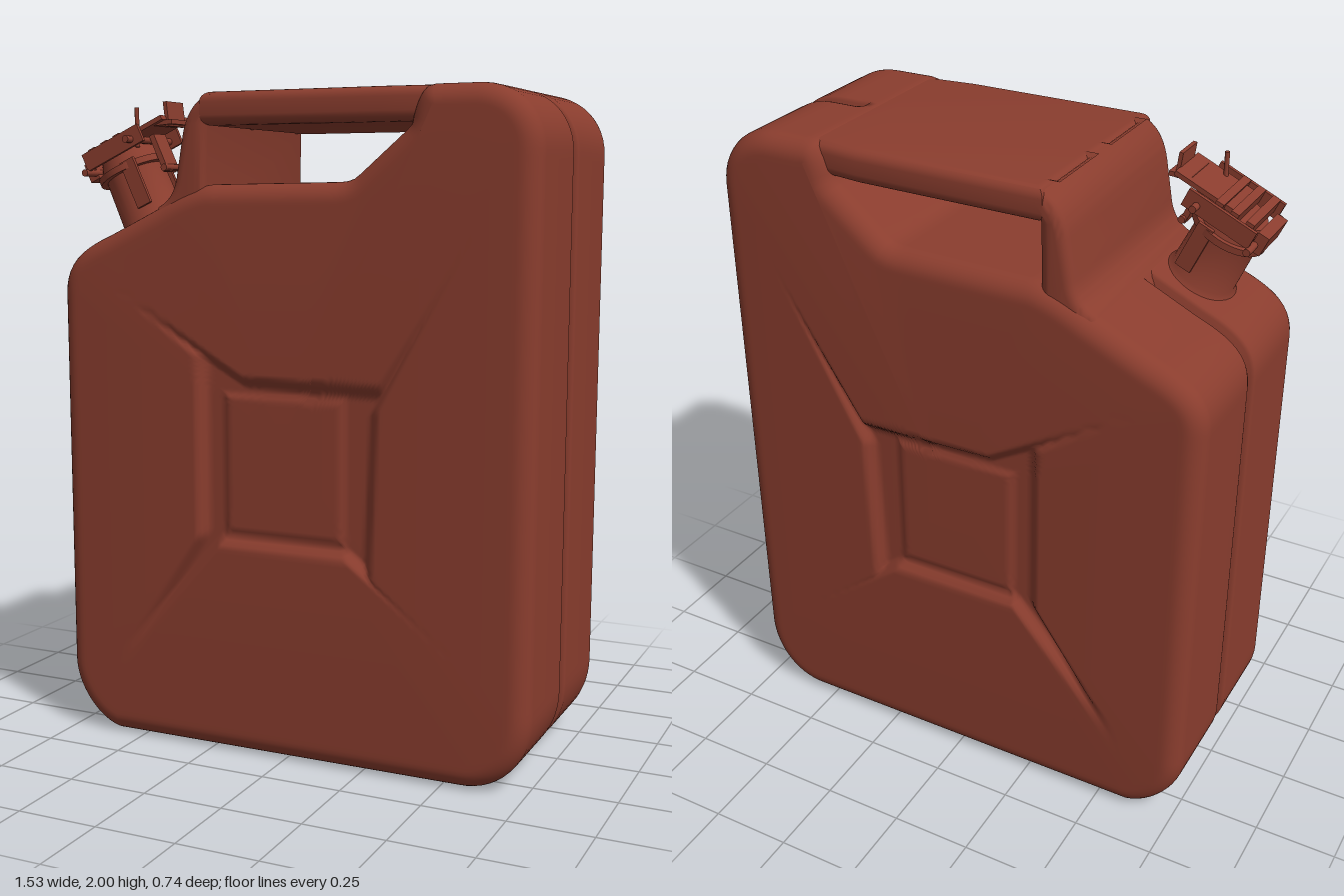
import * as THREE from 'three';
import { toCreasedNormals } from 'three/addons/utils/BufferGeometryUtils.js';

const paint = new THREE.MeshStandardMaterial({ color: 0x8a3d2e });
paint.name = 'rust red paint';

const add = (parent, name, geometry, x = 0, y = 0, z = 0) => {
  const mesh = new THREE.Mesh(geometry, paint);
  mesh.name = name;
  mesh.position.set(x, y, z);
  parent.add(mesh);
  return mesh;
};
const smooth = (d, w) => THREE.MathUtils.smoothstep(d, 0, w);

// Side outline of the can, counterclockwise
function outline(n) {
  const s = new THREE.Shape();
  s.moveTo(-0.6, 0.005);
  s.lineTo(0.56, 0.005);
  s.bezierCurveTo(0.67, 0.005, 0.76, 0.1, 0.762, 0.23);
  s.lineTo(0.767, 1.82);
  s.bezierCurveTo(0.767, 1.92, 0.69, 2, 0.58, 2);
  s.lineTo(0.44, 2);
  s.quadraticCurveTo(0.4, 1.98, 0.385, 1.89);
  s.lineTo(0.22, 1.75);
  s.quadraticCurveTo(0.2, 1.735, 0.16, 1.735);
  s.lineTo(-0.25, 1.73);
  s.quadraticCurveTo(-0.32, 1.72, -0.42, 1.665);
  s.lineTo(-0.6, 1.58);
  s.bezierCurveTo(-0.7, 1.54, -0.765, 1.5, -0.767, 1.4);
  s.lineTo(-0.767, 0.22);
  s.bezierCurveTo(-0.765, 0.12, -0.68, 0.02, -0.6, 0.005);
  return s.getSpacedPoints(n).slice(0, n);
}

// Pressed X-shaped recess with a raised pad in the middle
const cross = [
  [-0.58, 1.435], [-0.12, 1.17], [0.3, 1.16], [0.615, 1.64], [0.31, 1.08], [0.29, 0.6],
  [0.63, 0.32], [0.2, 0.645], [-0.2, 0.65], [-0.63, 0.17], [-0.285, 0.68], [-0.285, 1.22],
];
function relief(x, y) {
  let inside = false, d = 1;
  cross.forEach(([ax, ay], i) => {
    const [bx, by] = cross[(i + 1) % cross.length];
    if ((ay > y) !== (by > y) && x < ax + ((y - ay) * (bx - ax)) / (by - ay)) inside = !inside;
    const ex = bx - ax, ey = by - ay;
    const t = THREE.MathUtils.clamp(((x - ax) * ex + (y - ay) * ey) / (ex * ex + ey * ey), 0, 1);
    d = Math.min(d, Math.hypot(x - ax - t * ex, y - ay - t * ey));
  });
  if (!inside) return 0;
  const pad = Math.min(0.2 - Math.abs(x), 0.22 - Math.abs(y - 0.9));
  return -0.03 * smooth(d, 0.035) + 0.01 * smooth(pad, 0.02);
}

// One pressed half: seam groove, side wall, rounded edge, then the relief face
function shell(sign) {
  const n = 280, steps = 60, pts = outline(n);
  const normals = pts.map((_, j) => {
    const a = pts[(j + n - 2) % n], b = pts[(j + 2) % n];
    return new THREE.Vector2(b.y - a.y, a.x - b.x).normalize();
  });
  const section = [[0.045, 0], [0.045, 0.008], [0.035, 0.015], [0.012, 0.019], [0.003, 0.026], [0, 0.036], [0, 0.17]];
  for (let i = 0; i <= 8; i++) {
    const a = (i / 8) * Math.PI / 2;
    section.push([0.06 * (1 - Math.cos(a)), 0.302 + 0.06 * Math.sin(a)]);
  }
  const pos = [], index = [];
  const at = (j, inset) => pts[j].clone().addScaledVector(normals[j], -inset);
  section.forEach(([inset, z], r) => {
    for (let j = 0; j < n; j++) {
      // the seam groove fades out beneath the handles
      const covered = pts[j].y > 1.6 && pts[j].x > -0.38 && pts[j].x < 0.49;
      const p = at(j, r < 6 && covered ? 0 : inset);
      pos.push(p.x, p.y, z * sign);
    }
  });
  for (let m = 1; m <= steps; m++) {
    const k = 1 - m / steps;
    for (let j = 0; j < n; j++) {
      const p = at(j, 0.06);
      const x = p.x * k, y = 0.95 + (p.y - 0.95) * k;
      pos.push(x, y, sign * (0.362 + 0.011 * (1 - k * k) + relief(x, y)));
    }
  }
  for (let r = 0; r < section.length + steps - 1; r++) {
    for (let j = 0; j < n; j++) {
      const a = r * n + j, b = r * n + (j + 1) % n, c = a + n, d = b + n;
      if (sign > 0) index.push(a, b, c, b, d, c);
      else index.push(a, c, b, b, c, d);
    }
  }
  const g = new THREE.BufferGeometry();
  g.setAttribute('position', new THREE.Float32BufferAttribute(pos, 3));
  g.setIndex(index);
  g.computeVertexNormals();
  return g;
}

const extrude = (shape, depth, bevel) => toCreasedNormals(new THREE.ExtrudeGeometry(shape, {
  depth: depth - 2 * bevel, bevelEnabled: true, bevelSize: bevel, bevelThickness: bevel,
  bevelOffset: -bevel, bevelSegments: 5, curveSegments: 12,
}).translate(0, 0, bevel - depth / 2), 0.7);

// Three bars as one slotted plate, with the common leg at the spout end
function handles() {
  const g = new THREE.Group();
  g.name = 'handles';
  const plate = new THREE.Shape();
  plate.moveTo(-0.275, -0.34);
  plate.lineTo(0.3, -0.34);
  plate.lineTo(0.5, -0.32);
  plate.lineTo(0.5, 0.32);
  plate.lineTo(0.3, 0.34);
  plate.lineTo(-0.275, 0.34);
  plate.closePath();
  for (const c of [-0.157, 0.157]) {
    const slot = new THREE.Path();
    slot.moveTo(-0.262, c - 0.088);
    slot.lineTo(0.23, c - 0.088);
    slot.bezierCurveTo(0.375, c - 0.075, 0.375, c + 0.075, 0.23, c + 0.088);
    slot.lineTo(-0.262, c + 0.088);
    slot.closePath();
    plate.holes.push(slot);
  }
  add(g, 'handleBars', extrude(plate, 0.098, 0.03).rotateX(-Math.PI / 2), 0, 1.949, 0);

  const leg = new THREE.Shape();
  leg.moveTo(-0.46, 1.6);
  leg.lineTo(-0.43, 1.665);
  leg.quadraticCurveTo(-0.375, 1.69, -0.365, 1.76);
  leg.lineTo(-0.345, 1.87);
  leg.quadraticCurveTo(-0.325, 1.98, -0.235, 1.998);
  leg.lineTo(-0.262, 1.9);
  leg.lineTo(-0.268, 1.6);
  leg.closePath();
  add(g, 'handleLeg', extrude(leg, 0.68, 0.03));
  return g;
}

// Tilted filler neck with hinged cap, lever and pins
function spout() {
  const g = new THREE.Group();
  g.name = 'spout';
  g.position.set(-0.53, 1.6, 0.165);
  g.rotation.z = 0.43;
  const box = (name, w, h, d, x, y, z = 0) => add(g, name, new THREE.BoxGeometry(w, h, d), x, y, z);
  const pin = (name, x, y, length) =>
    add(g, name, new THREE.CylinderGeometry(0.011, 0.011, length, 12).rotateX(Math.PI / 2), x, y, 0);

  const profile = [[0.15, -0.03], [0.115, 0.005], [0.098, 0.025], [0.094, 0.18], [0, 0.18]];
  add(g, 'neck', toCreasedNormals(new THREE.LatheGeometry(
    profile.map(([r, y]) => new THREE.Vector2(r, y)), 32), 0.7));
  add(g, 'capLip', new THREE.CylinderGeometry(0.115, 0.115, 0.02, 32), 0, 0.19, 0);
  add(g, 'cap', new THREE.CylinderGeometry(0.085, 0.1, 0.05, 32), 0, 0.225, 0);
  for (const s of [-1, 1]) {
    box('bracketArm', 0.05, 0.15, 0.012, 0.045, 0.13, s * 0.1);
    box('leverSide', 0.22, 0.055, 0.012, 0.025, 0.255, s * 0.115);
  }
  for (const x of [-0.055, -0.005, 0.045]) box('capRib', 0.025, 0.045, 0.21, x, 0.268);
  box('leverPlate', 0.2, 0.014, 0.16, 0.1, 0.275);
  box('leverFlap', 0.07, 0.014, 0.12, 0.185, 0.265).rotation.z = -0.35;
  box('leverTip', 0.012, 0.075, 0.1, 0.205, 0.285).rotation.z = -0.3;
  box('hingeTab', 0.035, 0.06, 0.15, -0.1, 0.235);
  pin('hingePin', -0.09, 0.225, 0.27);
  pin('leverPin', 0.095, 0.25, 0.3);
  pin('latchPin', 0.125, 0.145, 0.09);
  box('latch', 0.018, 0.12, 0.07, 0.122, 0.195);
  add(g, 'lockingPin', new THREE.CylinderGeometry(0.007, 0.007, 0.12, 10), 0.1, 0.29, 0.06).rotation.z = -0.43;
  return g;
}

export function createModel() {
  const model = new THREE.Group();
  model.name = 'fuelCan';
  add(model, 'frontShell', shell(1));
  add(model, 'backShell', shell(-1));
  model.add(handles(), spout());
  return model;
}
